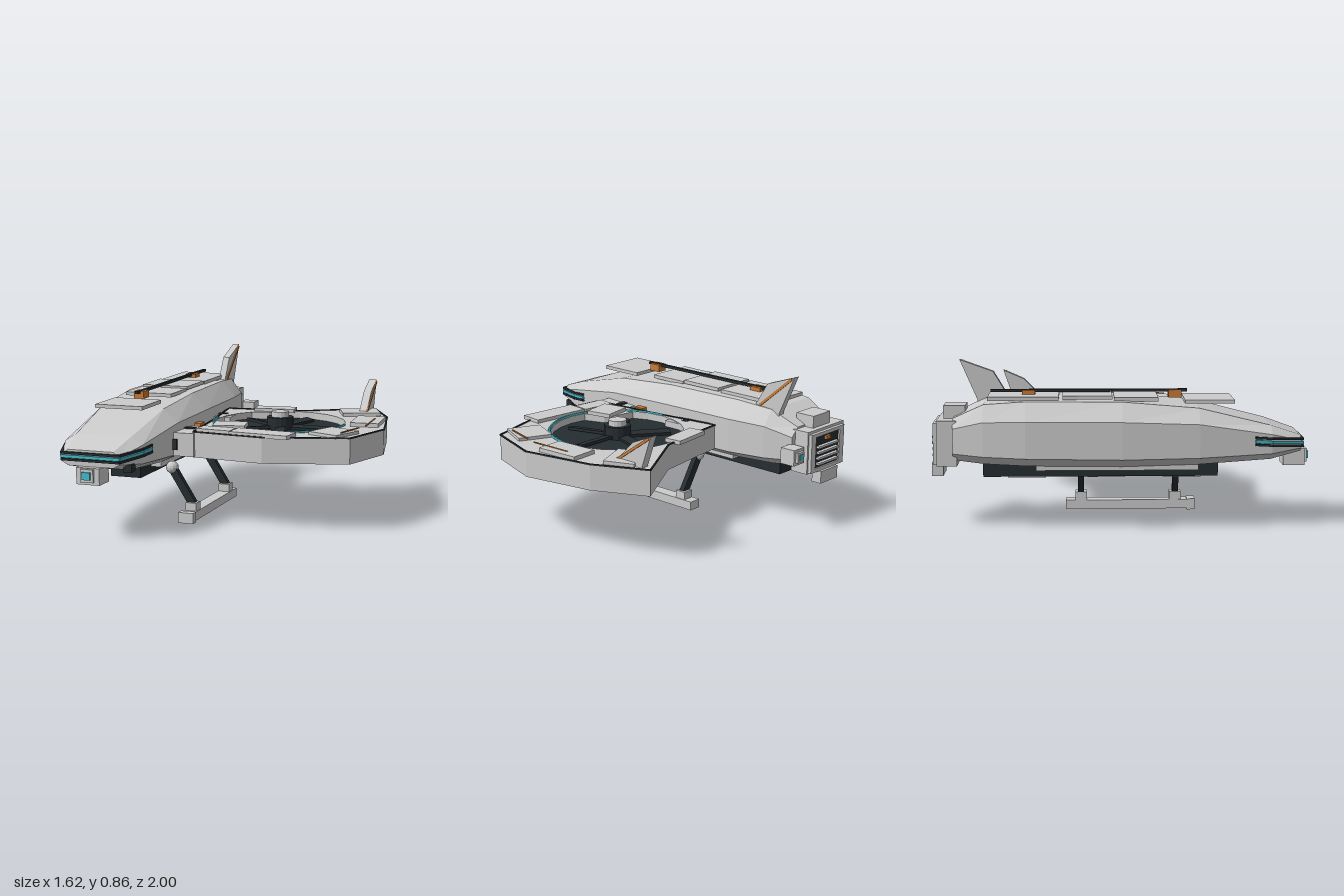
import * as THREE from 'three';

const mat = (color) => new THREE.MeshStandardMaterial({ color, flatShading: true });
const GREY = mat(0xcccccc), DARK = mat(0x262d31), ORANGE = mat(0xc87a35), CYAN = mat(0x45bccb);
const CX = -0.53; // hull centre line
const FAN = [0.18, -0.06]; // fan centre in x, z

export function createModel() {
  const root = new THREE.Group();

  const add = (name, geo, material = GREY, x = 0, y = 0, z = 0, parent = root) => {
    const m = new THREE.Mesh(geo, material);
    m.name = name;
    m.position.set(x, y, z);
    parent.add(m);
    return m;
  };
  // Box given by its extents
  const box = (name, [x0, x1], [y0, y1], [z0, z1], material = GREY) =>
    add(name, new THREE.BoxGeometry(x1 - x0, y1 - y0, z1 - z0), material,
      (x0 + x1) / 2, (y0 + y1) / 2, (z0 + z1) / 2);
  // Bar running between two points
  const bar = (name, a, b, w, h, material) => {
    const p = new THREE.Vector3(...a), q = new THREE.Vector3(...b);
    const m = add(name, new THREE.BoxGeometry(w, h, p.distanceTo(q)), material);
    m.position.copy(p).lerp(q, 0.5);
    m.lookAt(q);
    return m;
  };
  // Flat-sided skin through rings of equal length, closed at both ends
  const loft = (rings) => {
    const pos = [], n = rings[0].length;
    const tri = (...pts) => pts.forEach((p) => pos.push(...p));
    for (let i = 0; i < rings.length - 1; i++) for (let j = 0; j < n; j++) {
      const k = (j + 1) % n, a = rings[i][j], b = rings[i][k], c = rings[i + 1][k], d = rings[i + 1][j];
      tri(a, d, c);
      tri(a, c, b);
    }
    const last = rings[rings.length - 1];
    for (let j = 1; j < n - 1; j++) {
      tri(rings[0][0], rings[0][j], rings[0][j + 1]);
      tri(last[0], last[j + 1], last[j]);
    }
    const g = new THREE.BufferGeometry();
    g.setAttribute('position', new THREE.Float32BufferAttribute(pos, 3));
    g.computeVertexNormals();
    return g;
  };

  // Hull: z, half widths (middle, top, bottom), heights (bottom, lower edge, upper edge, top)
  const stations = [
    [0.94, 0.165, 0.13, 0.13, 0.40, 0.42, 0.46, 0.485],
    [0.78, 0.225, 0.16, 0.15, 0.36, 0.40, 0.50, 0.54],
    [0.40, 0.268, 0.185, 0.165, 0.335, 0.385, 0.56, 0.635],
    [0.00, 0.285, 0.20, 0.17, 0.325, 0.38, 0.575, 0.67],
    [-0.50, 0.27, 0.19, 0.165, 0.33, 0.385, 0.575, 0.672],
    [-0.72, 0.235, 0.17, 0.15, 0.34, 0.39, 0.57, 0.655],
    [-0.88, 0.19, 0.14, 0.14, 0.36, 0.40, 0.53, 0.58],
  ];
  add('hull', loft(stations.map(([z, w, wt, wb, yb, yl, yu, yt]) => [
    [wb, yb], [w, yl], [w, yu], [wt, yt], [-wt, yt], [-w, yu], [-w, yl], [-wb, yb],
  ].map(([x, y]) => [CX + x, y, z]))));

  // Raised roof plates, centre rail and its clamps
  [[-0.70, -0.33, 0.69], [-0.31, -0.05, 0.695], [-0.04, 0.19, 0.685], [0.33, 0.59, 0.672]].forEach(([a, b, top]) =>
    box('roofPlate', [CX - 0.14, CX + 0.14], [top - 0.02, top], [a, b]));
  box('roofRail', [CX - 0.01, CX + 0.01], [0.70, 0.715], [-0.69, 0.35], DARK);
  [-0.49, 0.285].forEach((z) => {
    box('railClamp', [CX - 0.03, CX + 0.03], [0.67, 0.712], [z - 0.035, z + 0.035], ORANGE);
  });

  // Wrap-around visor: lit strip between dark strips
  [[0.432, 0.012, DARK], [0.449, 0.016, CYAN], [0.468, 0.012, DARK]].forEach(([y, h, m]) => {
    const name = m === CYAN ? 'visorLight' : 'visorTrim';
    box(name, [CX - 0.168, CX + 0.168], [y - h / 2, y + h / 2], [0.935, 0.952], m);
    for (const s of [-1, 1]) {
      bar(name, [CX + s * 0.165, y, 0.945], [CX + s * 0.226, y + 0.011, 0.78], 0.014, h, m);
      bar(name, [CX + s * 0.226, y + 0.011, 0.78], [CX + s * 0.24, y + 0.018, 0.69], 0.014, h, m);
    }
  });

  // Chin sensor and cheek camera
  box('chinSensor', [-0.597, -0.465], [0.31, 0.40], [0.86, 0.975]);
  box('sensorBezel', [-0.568, -0.494], [0.325, 0.395], [0.97, 0.99]);
  box('sensorLens', [-0.555, -0.507], [0.34, 0.38], [0.985, 1.0], CYAN);
  box('cheekCamera', [-0.37, -0.325], [0.37, 0.412], [0.83, 0.88], DARK);
  box('cheekMount', [-0.365, -0.345], [0.385, 0.43], [0.76, 0.83], ORANGE);

  // Belly bay with plates
  box('bellyBay', [CX - 0.09, CX + 0.09], [0.26, 0.335], [-0.73, 0.51], DARK);
  [-0.5, -0.08, 0.32].forEach((z) => box('bellyPlate', [CX - 0.07, CX + 0.07], [0.252, 0.262], [z - 0.1, z + 0.1]));
  for (const s of [-1, 1]) box('bellyRail', [CX + s * 0.135 - 0.03, CX + s * 0.135 + 0.03], [0.305, 0.34], [-0.45, 0.4]);

  // Tail block with recessed louvre
  box('tailBlock', [-0.70, -0.37], [0.33, 0.57], [-0.965, -0.86]);
  box('louvreBack', [-0.645, -0.425], [0.35, 0.54], [-0.975, -0.96], DARK);
  for (const s of [-1, 1]) {
    box('louvreSide', [CX + s * 0.13 - 0.02, CX + s * 0.13 + 0.02], [0.34, 0.55], [-0.985, -0.96]);
    box('louvreEdge', [CX - 0.15, CX + 0.15], [0.445 + s * 0.1 - 0.01, 0.445 + s * 0.1 + 0.01], [-0.985, -0.96]);
  }
  for (let i = 0; i < 4; i++) box('louvreSlat', [CX - 0.09, CX + 0.09], [0.372 + i * 0.032, 0.384 + i * 0.032], [-0.995, -0.97]);
  box('louvreTag', [CX - 0.02, CX + 0.02], [0.505, 0.525], [-0.99, -0.97], ORANGE);
  box('tailCap', [-0.61, -0.455], [0.56, 0.638], [-0.935, -0.82]);
  box('tailFoot', [-0.61, -0.455], [0.265, 0.335], [-1.0, -0.94]);
  box('tailPod', [-0.352, -0.262], [0.40, 0.49], [-0.955, -0.865]);
  box('tailPodArm', [-0.39, -0.34], [0.42, 0.47], [-0.94, -0.88]);
  box('tailPodRim', [-0.335, -0.279], [0.417, 0.473], [-0.97, -0.95]);
  box('tailPodLamp', [-0.323, -0.291], [0.429, 0.461], [-0.974, -0.96], CYAN);

  // Swept fins drawn in z, y with an orange stripe on the outer face
  const fin = (name, x, t, outline, a, b) => {
    const g = new THREE.ExtrudeGeometry(new THREE.Shape(outline.map((p) => new THREE.Vector2(...p))),
      { depth: t, bevelEnabled: false });
    add(name, g.rotateY(-Math.PI / 2), GREY, x);
    bar(name + 'Stripe', [x, a[1], a[0]], [x, b[1], b[0]], 0.012, 0.014, ORANGE);
  };
  fin('hullFin', -0.362, 0.04, [[-0.56, 0.58], [-0.61, 0.67], [-0.685, 0.795], [-0.865, 0.86], [-0.77, 0.64], [-0.77, 0.56]],
    [-0.62, 0.65], [-0.85, 0.85]);
  fin('ductFin', 0.585, 0.045, [[-0.43, 0.51], [-0.56, 0.645], [-0.685, 0.70], [-0.62, 0.51]], [-0.45, 0.53], [-0.675, 0.69]);

  // Fan duct: angular body with a notched round opening
  const outline = [[-0.16, 0.43], [0.25, 0.47], [0.70, 0.335], [0.805, 0.01], [0.725, -0.39], [0.58, -0.68],
    [0.20, -0.46], [-0.08, -0.42], [-0.26, -0.40], [-0.2, 0.0]];
  const duct = new THREE.Shape(outline.map((p) => new THREE.Vector2(...p)));
  const hole = [];
  for (let i = 0; i < 24; i++) {
    const a = i * Math.PI / 12, r = i === 8 || i === 9 ? 0.28 : i === 16 ? 0.33 : 0.372;
    hole.push(new THREE.Vector2(FAN[0] + r * Math.cos(a), FAN[1] + r * Math.sin(a)));
  }
  duct.holes.push(new THREE.Path(hole));
  add('ductBody', new THREE.ExtrudeGeometry(duct, { depth: 0.14, bevelEnabled: false }).rotateX(Math.PI / 2), GREY, 0, 0.52);
  // Dark seam around the upper rim
  outline.forEach(([x, z], i) => {
    const [u, v] = outline[(i + 1) % outline.length];
    bar('ductSeam', [x, 0.522, z], [u, 0.522, v], 0.008, 0.008, DARK);
  });

  // Rim plates: x, z, width, depth, turn
  [[0.03, -0.43, 0.24, 0.10, 0.12], [0.54, -0.47, 0.22, 0.17, 0.4], [0.67, -0.16, 0.16, 0.25, 0.07],
    [0.58, 0.23, 0.19, 0.20, -0.4], [0.23, 0.40, 0.34, 0.13, -0.09], [-0.02, 0.22, 0.18, 0.15, 0.2],
    [-0.05, 0.36, 0.2, 0.1, -0.09]].forEach(([x, z, w, d, turn], i) => {
    add('rimPlate', new THREE.BoxGeometry(w, 0.022, d), GREY, x, 0.526 + (i % 3) * 0.003, z).rotation.y = turn;
  });
  bar('rimStripe', [0.70, 0.543, -0.2], [0.71, 0.543, 0.05], 0.008, 0.006, ORANGE);
  bar('rimStripe', [0.69, 0.543, 0.12], [0.64, 0.543, 0.3], 0.008, 0.006, ORANGE);

  // Lit ring around the forward half of the opening
  add('ringLight', new THREE.TorusGeometry(0.38, 0.008, 6, 32, Math.PI).rotateX(Math.PI / 2), CYAN, FAN[0], 0.522, FAN[1]);

  // Fan: disc, five blades, hub
  add('fanDisc', new THREE.CylinderGeometry(0.39, 0.39, 0.03, 24), DARK, FAN[0], 0.465, FAN[1]);
  for (let i = 0; i < 5; i++) {
    const pivot = new THREE.Group();
    pivot.name = 'fanBlade';
    pivot.position.set(FAN[0], 0.492, FAN[1]);
    pivot.rotation.y = i * Math.PI * 0.4;
    root.add(pivot);
    add('blade', new THREE.BoxGeometry(0.27, 0.016, 0.055), DARK, 0.165, 0, 0, pivot).rotation.x = 0.15;
  }
  add('hubCollar', new THREE.CylinderGeometry(0.075, 0.075, 0.07, 16), DARK, FAN[0], 0.515, FAN[1]);
  add('hubCap', new THREE.CylinderGeometry(0.05, 0.052, 0.035, 16), GREY, FAN[0], 0.563, FAN[1]);

  // Struts joining hull and duct
  [[-0.40, -0.12, -0.22], [0.22, 0.45, 0.30]].forEach(([a, b, z]) => {
    box('strut', [-0.29, -0.15], [0.385, 0.515], [a, b]);
    box('strutLatch', [-0.26, -0.20], [0.42, 0.522], [z - 0.018, z + 0.018], DARK);
    box('strutLatchFace', [-0.272, -0.245], [0.42, 0.48], [b, b + 0.012], DARK);
  });
  box('strutMarker', [-0.26, -0.215], [0.47, 0.525], [0.12, 0.18], ORANGE);

  // Landing skid on two slanted legs
  [0.31, -0.215].forEach((z) => {
    add('legJoint', new THREE.SphereGeometry(0.036, 12, 8), GREY, -0.335, 0.29, z);
    bar('leg', [-0.335, 0.29, z], [-0.21, 0.09, z], 0.032, 0.045, DARK);
    box('ankle', [-0.245, -0.18], [0.05, 0.1], [z - 0.032, z + 0.032]);
  });
  box('skid', [-0.25, -0.175], [0.005, 0.055], [-0.30, 0.40]);
  box('skidTip', [-0.257, -0.168], [0.0, 0.06], [0.375, 0.42]);

  return root;
}
